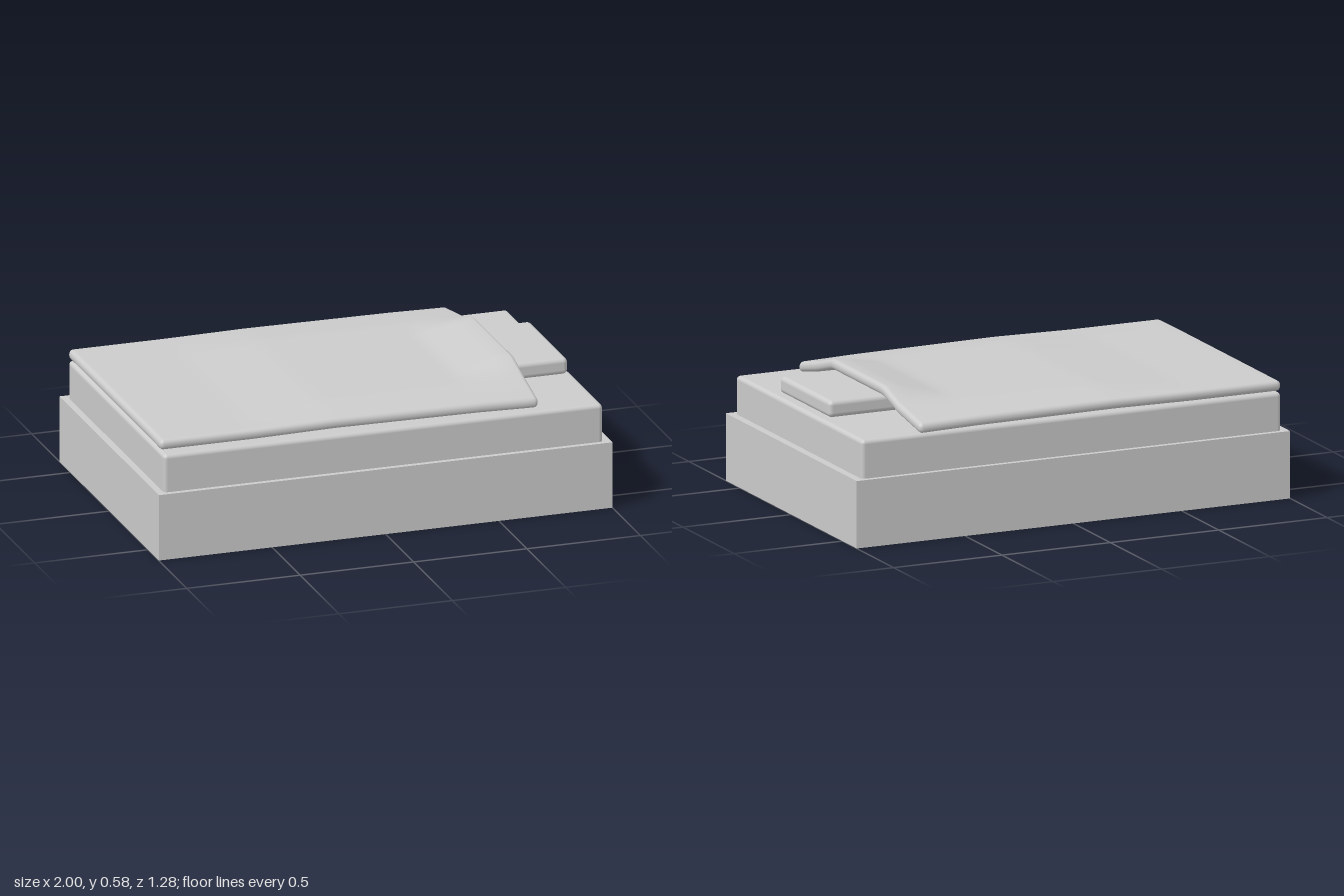
import * as THREE from 'three';
import { mergeVertices } from 'three/addons/utils/BufferGeometryUtils.js';
import { RoundedBoxGeometry } from 'three/addons/geometries/RoundedBoxGeometry.js';

const material = new THREE.MeshStandardMaterial({ color: 0xcccccc });

// Box given by its extents on each axis; radius 0 keeps it sharp
function block(name, [x0, x1], [y0, y1], [z0, z1], radius) {
  const size = [x1 - x0, y1 - y0, z1 - z0];
  const geometry = radius
    ? new RoundedBoxGeometry(...size, 4, radius)
    : new THREE.BoxGeometry(...size);
  const mesh = new THREE.Mesh(geometry, material);
  mesh.name = name;
  mesh.position.set((x0 + x1) / 2, (y0 + y1) / 2, (z0 + z1) / 2);
  return mesh;
}

// Blanket height above the bed: rows run foot to head, columns across the bed
const rowX = [-0.97, -0.55, -0.2, 0.44, 0.65, 0.7];
const columnZ = [-0.62, -0.4, -0.25, 0.25, 0.4, 0.57];
const tops = [
  [0.505, 0.505, 0.505, 0.505, 0.505, 0.503],
  [0.505, 0.508, 0.508, 0.508, 0.508, 0.503],
  [0.508, 0.53, 0.532, 0.532, 0.53, 0.508],
  [0.503, 0.531, 0.533, 0.533, 0.531, 0.502],
  [0.498, 0.535, 0.579, 0.579, 0.535, 0.496],
  [0.497, 0.535, 0.58, 0.58, 0.535, 0.495],
];

function interpolate(xs, ys, x) {
  let i = 0;
  while (i < xs.length - 2 && x > xs[i + 1]) i++;
  const t = THREE.MathUtils.clamp((x - xs[i]) / (xs[i + 1] - xs[i]), 0, 1);
  return THREE.MathUtils.lerp(ys[i], ys[i + 1], t);
}

const topHeight = (x, z) => interpolate(rowX, tops.map((row) => interpolate(columnZ, row, z)), x);

// Grid lines along one axis, packed closely where the rim is rounded
function stations(half, radius, inner) {
  const rim = [3, 2, 1, 0].map((k) => half - radius + radius * Math.tan((k * Math.PI) / 12));
  const flat = half - radius;
  const list = rim.map((v) => -v);
  for (let i = 1; i < inner; i++) list.push(-flat + (2 * flat * i) / inner);
  return list.concat(rim.reverse());
}

// Rounded sheet draped over the height table
function blanket() {
  const radius = 0.02;
  const half = [0.835, 0.0225, 0.595];
  const center = [-0.135, 0, -0.025];
  const lines = half.map((h, i) => stations(h, radius, [42, 1, 34][i]));
  const counts = lines.map((l) => l.length - 1);
  let geometry = new THREE.BoxGeometry(2, 2, 2, ...counts);
  const position = geometry.attributes.position;
  const p = new THREE.Vector3();
  const core = new THREE.Vector3();
  const limit = new THREE.Vector3(...half).subScalar(radius);
  const negative = limit.clone().negate();
  for (let i = 0; i < position.count; i++) {
    const source = [position.getX(i), position.getY(i), position.getZ(i)];
    p.fromArray(source.map((v, a) => lines[a][Math.round(((v + 1) / 2) * counts[a])]));
    core.copy(p).clamp(negative, limit);
    p.sub(core).setLength(radius).add(core);
    const x = p.x + center[0];
    const z = p.z + center[2];
    position.setXYZ(i, x, topHeight(x, z) - half[1] + p.y, z);
  }
  geometry.deleteAttribute('normal');
  geometry.deleteAttribute('uv');
  geometry = mergeVertices(geometry, 1e-5);
  geometry.computeVertexNormals();
  const mesh = new THREE.Mesh(geometry, material);
  mesh.name = 'blanket';
  return mesh;
}

export function createModel() {
  const bed = new THREE.Group();
  bed.name = 'bed';
  bed.add(
    block('base', [-1, 1], [0, 0.29], [-0.64, 0.64], 0),
    block('mattress', [-0.97, 0.966], [0.25, 0.455], [-0.618, 0.618], 0.018),
    block('pillow', [0.5, 0.94], [0.463, 0.535], [-0.245, 0.245], 0.02),
    blanket(),
  );
  return bed;
}
